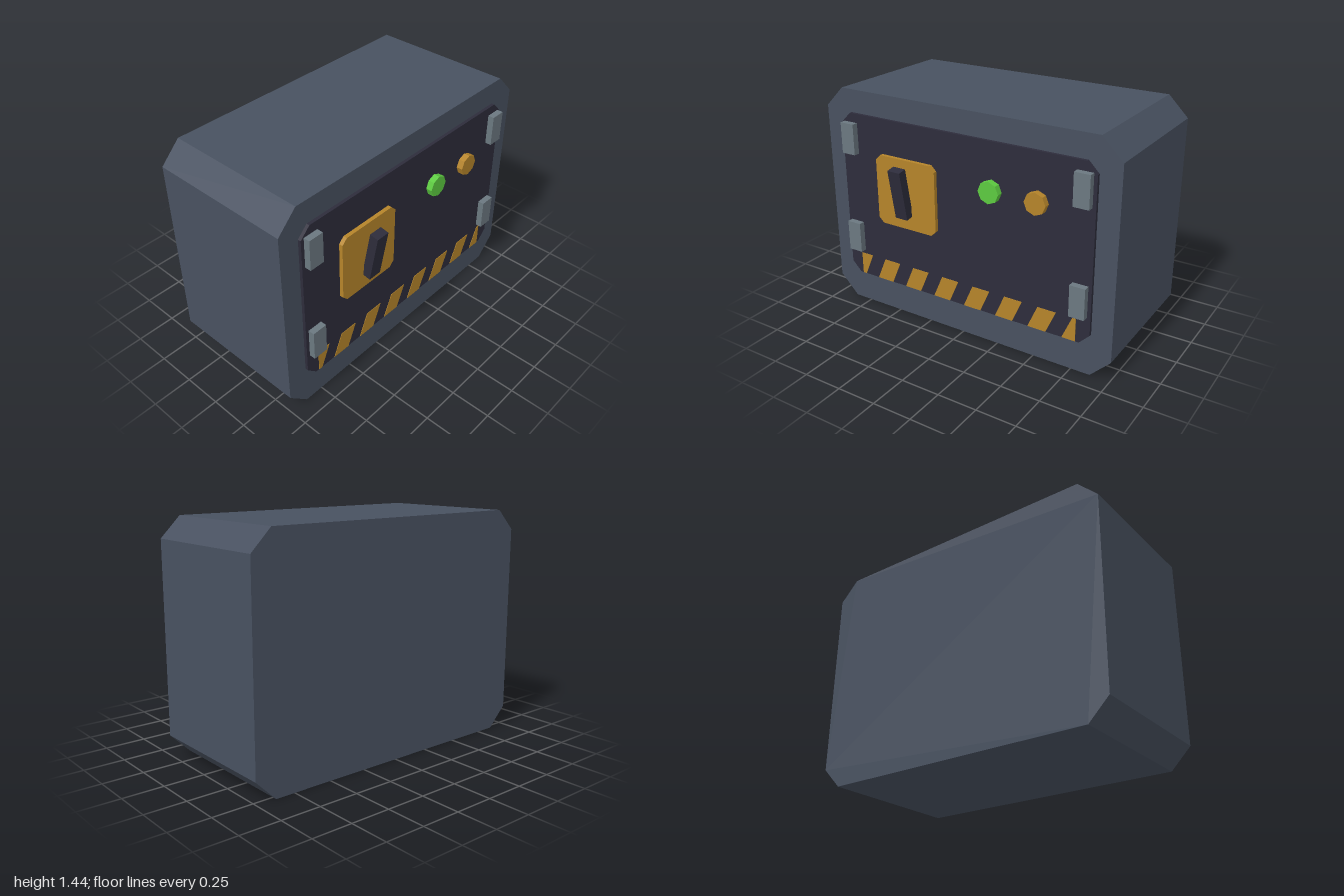
import * as THREE from 'three';

const mat = (name, color) => {
  const m = new THREE.MeshStandardMaterial({ color });
  m.name = name;
  return m;
};

export function createModel() {
  const slate = mat('slate', 0x485160);
  const dark = mat('dark', 0x2d2c3b);
  const amber = mat('amber', 0xb5842a);
  const green = mat('green', 0x5cca40);
  const steel = mat('steel', 0x6b7880);

  const root = new THREE.Group();
  root.name = 'controlBox';

  const add = (name, geometry, material, x = 0, y = 0, z = 0) => {
    const mesh = new THREE.Mesh(geometry, material);
    mesh.name = name;
    mesh.position.set(x, y, z);
    root.add(mesh);
    return mesh;
  };

  // Extrude a polygon from z = 0 to z = depth
  const prism = (points, depth) => new THREE.ExtrudeGeometry(
    new THREE.Shape(points.map(([x, y]) => new THREE.Vector2(x, y))),
    { depth, bevelEnabled: false });

  // Rectangle with cut corners, centred on x and y
  const cutPlate = (w, h, c, depth) => {
    const a = w / 2, b = h / 2;
    return prism([
      [-a + c, -b], [a - c, -b], [a, -b + c], [a, b - c],
      [a - c, b], [-a + c, b], [-a, b - c], [-a, -b + c],
    ], depth);
  };

  // Cabinet and front panel
  add('cabinet', cutPlate(2, 1.44, 0.127, 0.917), slate, 0, 0.72, -0.53);
  add('frontPanel', cutPlate(1.74, 1.09, 0.065, 0.022), dark, 0, 0.75, 0.385);

  // Hinge blocks at the four corners
  for (const x of [-0.8, 0.8]) {
    for (const y of [0.478, 1.14]) {
      add('hinge', new THREE.BoxGeometry(0.097, 0.197, 0.043), steel, x, y, 0.4255);
    }
  }

  // Switch plate with tilted lever
  add('switchPlate', cutPlate(0.435, 0.447, 0.034, 0.027), amber, -0.377, 0.852, 0.405);
  const lever = add('lever', new THREE.BoxGeometry(0.088, 0.325, 0.057), dark, -0.38, 0.877, 0.477);
  lever.rotation.x = 0.17;

  // Octagonal indicator lights
  for (const [name, x, m] of [['greenLight', 0.223, green], ['amberLight', 0.523, amber]]) {
    const light = new THREE.CylinderGeometry(0.068, 0.068, 0.042, 8).rotateX(Math.PI / 2);
    light.computeVertexNormals();
    const flat = light.toNonIndexed();
    flat.computeVertexNormals();
    add(name, flat, m, x, 1.004, 0.426);
  }

  // Slanted warning stripes, clipped to the band's ends
  const clip = (x) => Math.min(0.782, Math.max(-0.782, x));
  for (let i = -1; i <= 6; i++) {
    const x = -0.652 + i * 0.2246;
    add('warningStripe', prism([
      [clip(x), 0.206], [clip(x + 0.12), 0.206],
      [clip(x + 0.184), 0.352], [clip(x + 0.064), 0.352],
    ], 0.005), amber, 0, 0, 0.405);
  }

  return root;
}
